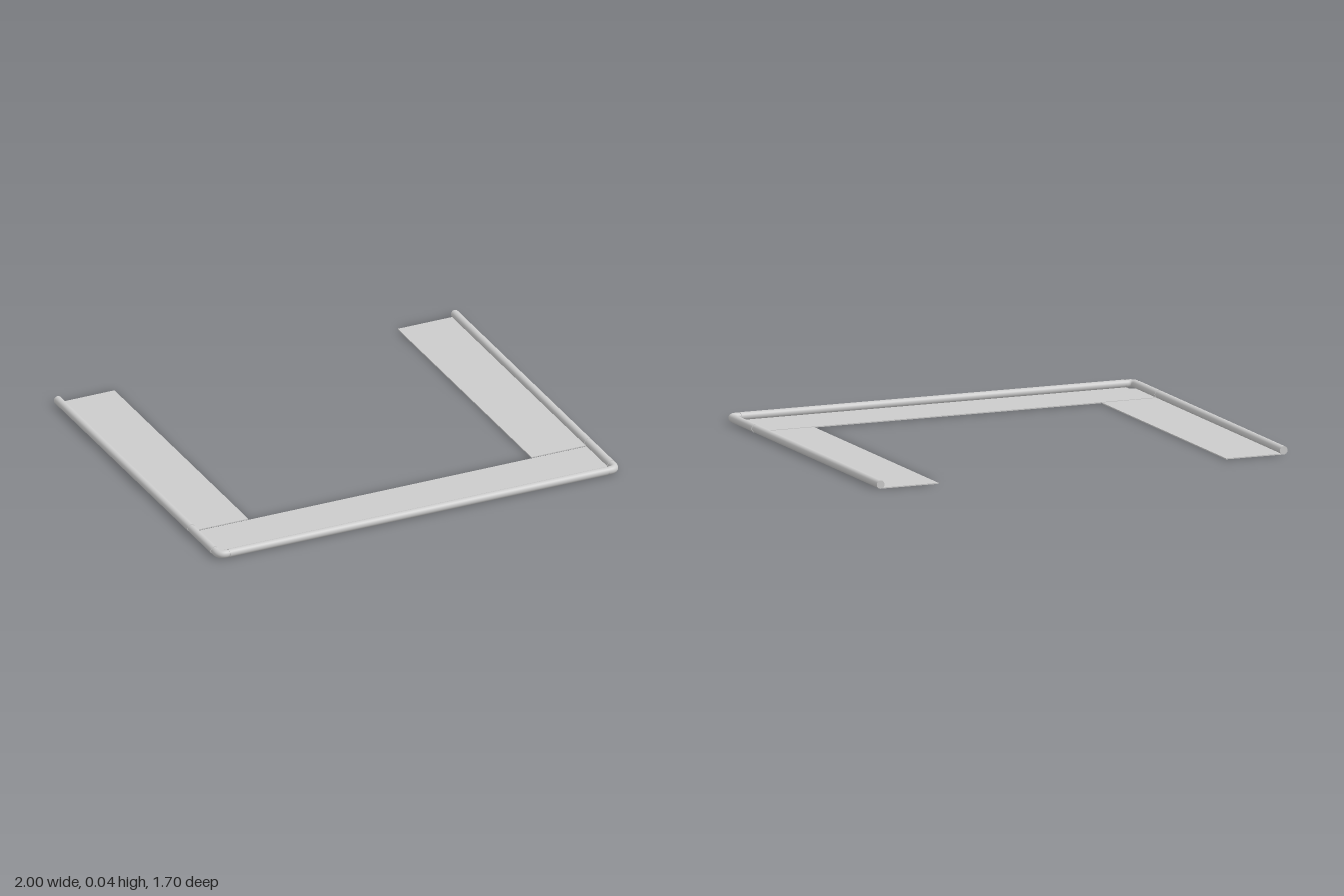
import * as THREE from 'three';

const R = 0.019;            // sleeve radius
const CX = 0.981, CZ = 0.83; // rail centre lines
const THICK = 0.005;        // panel thickness
const BACK = -0.85;

const mat = new THREE.MeshStandardMaterial({ color: 0xcccccc, side: THREE.DoubleSide });

function add(parent, name, geometry) {
  const mesh = new THREE.Mesh(geometry, mat);
  mesh.name = name;
  parent.add(mesh);
  return mesh;
}

// Round bar between two points at rail height
function bar(parent, name, radius, [x0, z0], [x1, z1]) {
  const a = new THREE.Vector3(x0, R, z0), b = new THREE.Vector3(x1, R, z1);
  const mesh = add(parent, name, new THREE.CylinderGeometry(radius, radius, a.distanceTo(b), 24));
  mesh.position.copy(a).add(b).multiplyScalar(0.5);
  mesh.quaternion.setFromUnitVectors(new THREE.Vector3(0, 1, 0), b.sub(a).normalize());
}

// Flat sheet lying on the ground from an outline of [x, z] points
function sheet(parent, name, points) {
  const shape = new THREE.Shape(points.map(([x, z]) => new THREE.Vector2(x, -z)));
  const geo = new THREE.ExtrudeGeometry(shape, { depth: THICK, bevelEnabled: false });
  geo.rotateX(-Math.PI / 2);
  add(parent, name, geo);
}

export function createModel() {
  const group = new THREE.Group();
  group.name = 'panelFrame';

  // Front panel with square cut-outs at its two outer corners
  sheet(group, 'frontPanel', [
    [-CX, 0.55], [CX, 0.55], [CX, 0.78], [0.94, 0.78],
    [0.94, CZ], [-0.94, CZ], [-0.94, 0.78], [-CX, 0.78],
  ]);
  bar(group, 'frontSleeve', R, [-0.935, CZ], [0.935, CZ]);

  for (const s of [1, -1]) {
    const side = new THREE.Group();
    side.name = s > 0 ? 'leftSide' : 'rightSide';
    group.add(side);

    // Side panel and the sleeves wrapped round the rail
    sheet(side, 'sidePanel', [[s * 0.70, BACK], [s * CX, BACK], [s * CX, 0.54], [s * 0.70, 0.54]]);
    bar(side, 'sideSleeve', R, [s * CX, BACK], [s * CX, 0.54]);
    bar(side, 'cornerSleeve', R, [s * CX, 0.55], [s * CX, 0.78]);

    // Slimmer inner rail, seen in the gaps between sleeves
    bar(side, 'innerRail', 0.017, [s * CX, 0.5], [s * CX, 0.80]);
    bar(side, 'innerFrontRail', 0.017, [s * 0.9, CZ], [s * 0.95, CZ]);

    // Rounded corner elbow
    const path = new THREE.CurvePath();
    const v = (x, z) => new THREE.Vector3(s * x, R, z);
    path.add(new THREE.LineCurve3(v(CX, 0.785), v(CX, 0.797)));
    path.add(new THREE.QuadraticBezierCurve3(v(CX, 0.797), v(CX, CZ), v(0.948, CZ)));
    path.add(new THREE.LineCurve3(v(0.948, CZ), v(0.942, CZ)));
    add(side, 'cornerElbow', new THREE.TubeGeometry(path, 20, 0.0185, 24, false));
  }
  return group;
}
